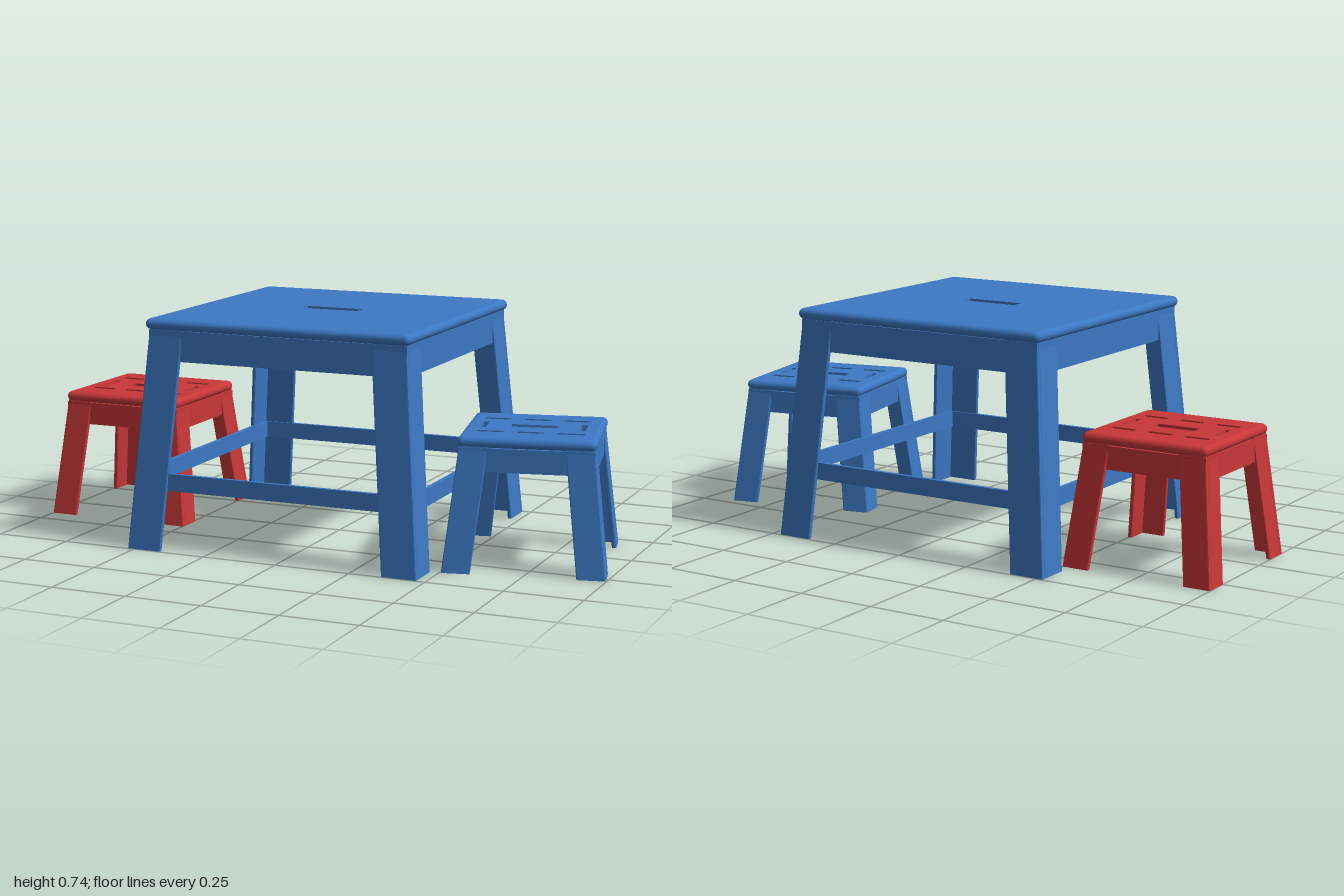
import * as THREE from 'three';

const blue = new THREE.MeshStandardMaterial({ color: 0x3c78c3 });
blue.name = 'blue paint';
const red = new THREE.MeshStandardMaterial({ color: 0xc83738 });
red.name = 'red paint';

const T = 0.014; // board thickness

function add(parent, name, geometry, material, x = 0, y = 0, z = 0) {
  const mesh = new THREE.Mesh(geometry, material);
  mesh.name = name;
  mesh.position.set(x, y, z);
  parent.add(mesh);
  return mesh;
}

// Rectangle path centred on (x, y)
function rect(path, x, y, w, h) {
  path.moveTo(x - w / 2, y - h / 2);
  path.lineTo(x + w / 2, y - h / 2);
  path.lineTo(x + w / 2, y + h / 2);
  path.lineTo(x - w / 2, y + h / 2);
  path.closePath();
  return path;
}

// Upright board with eased long edges; x0..x1 and z0..z1 at the floor,
// leaning inward by `lean` along both axes at the top
function leaningBoard(x0, x1, z0, z1, height, lean) {
  const r = 0.004;
  const s = new THREE.Shape();
  const a = x0, b = x1, c = -z1, d = -z0;
  s.moveTo(a + r, c);
  s.lineTo(b - r, c);
  s.quadraticCurveTo(b, c, b, c + r);
  s.lineTo(b, d - r);
  s.quadraticCurveTo(b, d, b - r, d);
  s.lineTo(a + r, d);
  s.quadraticCurveTo(a, d, a, d - r);
  s.lineTo(a, c + r);
  s.quadraticCurveTo(a, c, a + r, c);
  const g = new THREE.ExtrudeGeometry(s, { depth: height, bevelEnabled: false, curveSegments: 3 });
  g.rotateX(-Math.PI / 2);
  const p = g.attributes.position;
  for (let i = 0; i < p.count; i++) {
    const k = lean * p.getY(i) / height;
    p.setXYZ(i, p.getX(i) - k, p.getY(i), p.getZ(i) - k);
  }
  g.computeVertexNormals();
  return g;
}

// Square top with cut slots and half-round edges
function addTop(parent, o, material) {
  const r = (o.top - o.under) / 2, core = o.half - r;
  const shape = rect(new THREE.Shape(), 0, 0, core * 2, core * 2);
  for (const s of o.slots) shape.holes.push(rect(new THREE.Path(), ...s));
  const g = new THREE.ExtrudeGeometry(shape, { depth: r * 2, bevelEnabled: false });
  g.rotateX(-Math.PI / 2);
  add(parent, 'top', g, material, 0, o.under, 0);
  for (let i = 0; i < 4; i++) {
    const edge = new THREE.CapsuleGeometry(r, core * 2, 5, 16);
    edge.rotateX(Math.PI / 2);
    edge.translate(core, 0, 0);
    edge.rotateY(i * Math.PI / 2);
    add(parent, 'topEdge', edge, material, 0, o.under + r, 0);
  }
}

// Four boards forming a square frame, outer faces at `outer`
function addFrame(parent, name, outer, y0, y1, material) {
  for (let i = 0; i < 4; i++) {
    const length = i % 2 ? 2 * (outer - T) : 2 * outer;
    const g = new THREE.BoxGeometry(length, y1 - y0, T);
    g.translate(0, 0, outer - T / 2);
    g.rotateY(i * Math.PI / 2);
    add(parent, name, g, material, 0, (y0 + y1) / 2, 0);
  }
}

function buildPiece(name, o, material) {
  const piece = new THREE.Group();
  piece.name = name;
  addTop(piece, o, material);
  addFrame(piece, 'apron', o.apron, o.apronBottom, o.under, material);

  // Angle-section legs: a full-width face board and a side board butted behind it
  const f = o.foot, h = o.under + 0.005;
  const face = leaningBoard(f - o.legWidth, f, f - T, f, h, o.lean);
  const side = leaningBoard(f - T, f, f - o.legWidth, f - T, h, o.lean);
  for (let i = 0; i < 4; i++) {
    const leg = new THREE.Group();
    leg.name = 'leg';
    add(leg, 'legFaceBoard', face, material);
    add(leg, 'legSideBoard', side, material);
    leg.scale.set(i % 2 ? -1 : 1, 1, i > 1 ? -1 : 1);
    piece.add(leg);
  }
  return piece;
}

export function createModel() {
  const model = new THREE.Group();
  model.name = 'tableAndStools';

  // Table with lower rails
  const table = buildPiece('table', {
    half: 0.45, under: 0.705, top: 0.74, apron: 0.439, apronBottom: 0.607,
    foot: 0.497, lean: 0.06, legWidth: 0.116, slots: [[0, 0, 0.195, 0.045]],
  }, blue);
  addFrame(table, 'lowerRail', 0.47, 0.195, 0.25, blue);
  table.position.x = -0.026;
  model.add(table);

  // Stool slots: a centre handle ringed by narrow dashes
  const slots = [[0, 0, 0.145, 0.04]];
  for (const s of [-1, 1]) {
    for (const x of [-0.125, 0, 0.125]) slots.push([x, s * 0.105, 0.083, 0.02]);
    slots.push([s * 0.155, 0, 0.018, 0.095]);
  }
  const stool = {
    half: 0.213, under: 0.386, top: 0.42, apron: 0.2085, apronBottom: 0.312,
    foot: 0.252, lean: 0.045, legWidth: 0.089, slots,
  };

  const redStool = buildPiece('redStool', stool, red);
  redStool.position.set(-0.748, 0, -0.084);
  model.add(redStool);

  const blueStool = buildPiece('blueStool', stool, blue);
  blueStool.position.set(0.699, 0, 0.08);
  blueStool.rotation.y = THREE.MathUtils.degToRad(12);
  model.add(blueStool);

  return model;
}
